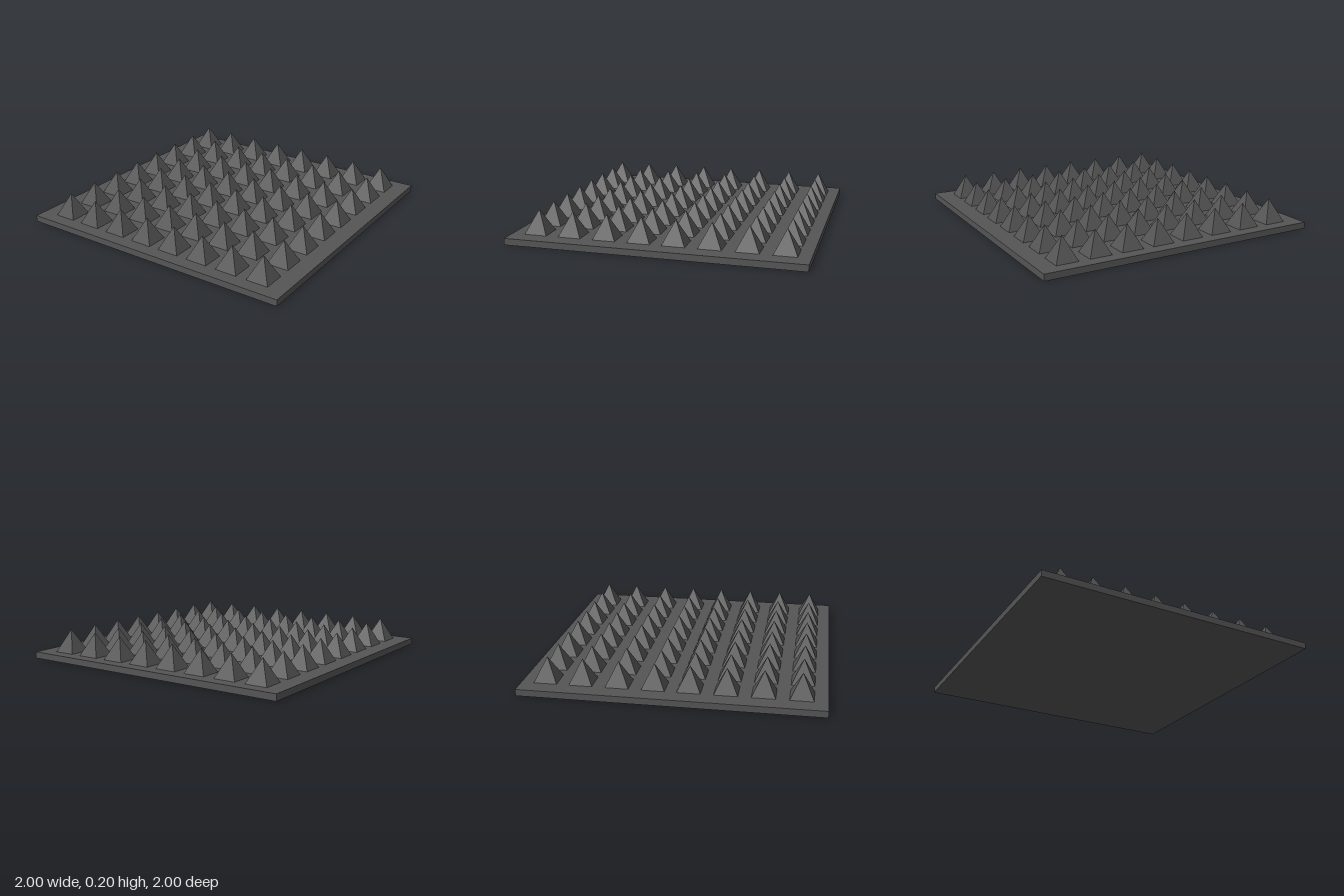
import * as THREE from 'three';

export function createModel() {
  const group = new THREE.Group();
  group.name = 'spikePlate';

  const darkGrey = new THREE.MeshStandardMaterial({ color: 0x555555 });
  darkGrey.name = 'darkGrey';

  const plateHeight = 0.045;
  const spikeHeight = 0.16;
  const spikeWidth = 0.155;

  // Flat square plate
  const plate = new THREE.Mesh(new THREE.BoxGeometry(2, plateHeight, 2), darkGrey);
  plate.name = 'basePlate';
  plate.position.y = plateHeight / 2;
  group.add(plate);

  // Four-sided spike, turned square to the plate, standing on y = 0
  const spikeGeometry = new THREE.ConeGeometry(spikeWidth / Math.SQRT2, spikeHeight, 4, 1)
    .rotateY(Math.PI / 4)
    .translate(0, spikeHeight / 2, 0)
    .toNonIndexed();
  spikeGeometry.computeVertexNormals();

  // Eight by eight spikes, with slightly uneven spacing
  const columns = [-0.805, -0.575, -0.342, -0.112, 0.114, 0.344, 0.572, 0.802];
  const rows = [-0.838, -0.6, -0.358, -0.12, 0.113, 0.352, 0.592, 0.833];
  const spikes = new THREE.Group();
  spikes.name = 'spikes';
  for (const z of rows) {
    for (const x of columns) {
      const spike = new THREE.Mesh(spikeGeometry, darkGrey);
      spike.name = 'spike';
      spike.position.set(x, plateHeight, z);
      spikes.add(spike);
    }
  }
  group.add(spikes);

  return group;
}
